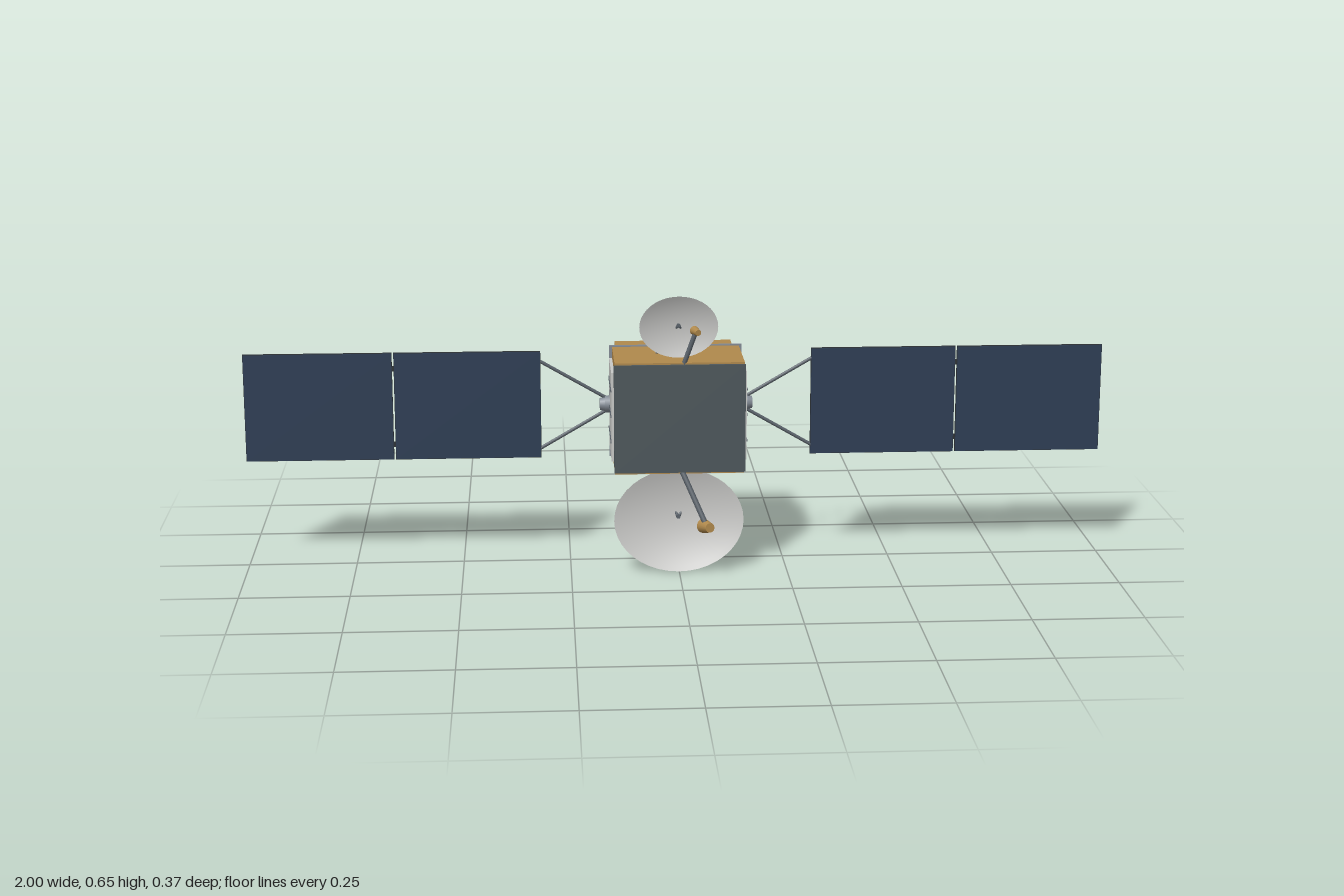
import * as THREE from 'three';

const paint = (name, color, side = THREE.FrontSide) => {
  const m = new THREE.MeshStandardMaterial({ color, side });
  m.name = name;
  return m;
};

export function createModel() {
  const gold = paint('gold foil', 0xb0894c);
  const slate = paint('slate plate', 0x4d575b);
  const white = paint('radiator white', 0xc8c9c7);
  const dishWhite = paint('dish white', 0xc8c8c6, THREE.DoubleSide);
  const metal = paint('ring metal', 0x838b95);
  const strutGrey = paint('strut grey', 0x5b636b);
  const navy = paint('solar cell navy', 0x2d3d54);
  const backing = paint('panel backing grey', 0x7b838a);
  const dark = paint('dark trim', 0x2d3236);

  const model = new THREE.Group();
  model.name = 'satellite';
  const MID = 0.373; // height of the body's axis

  const add = (name, geo, mat, parent = model) => {
    const mesh = new THREE.Mesh(geo, mat);
    mesh.name = name;
    parent.add(mesh);
    return mesh;
  };
  // box given by its limits on each axis
  const box = (name, mat, [x0, x1], [y0, y1], [z0, z1], parent) => {
    const mesh = add(name, new THREE.BoxGeometry(x1 - x0, y1 - y0, z1 - z0), mat, parent);
    mesh.position.set((x0 + x1) / 2, (y0 + y1) / 2, (z0 + z1) / 2);
    return mesh;
  };
  // cylinder or cone between two points
  const rod = (name, mat, from, to, r0, r1 = r0, sides = 10, parent = model) => {
    const a = new THREE.Vector3(...from), b = new THREE.Vector3(...to);
    const dir = b.clone().sub(a);
    const mesh = add(name, new THREE.CylinderGeometry(r1, r0, dir.length(), sides), mat, parent);
    mesh.position.copy(a).add(b).multiplyScalar(0.5);
    mesh.quaternion.setFromUnitVectors(new THREE.Vector3(0, 1, 0), dir.normalize());
    return mesh;
  };

  // body
  box('mainBody', gold, [-0.148, 0.148], [0.243, 0.503], [-0.05, 0.126]);
  box('frontPlate', slate, [-0.15, 0.15], [0.247, 0.499], [0.126, 0.133]);
  box('flange', metal, [-0.155, 0.155], [0.24, 0.506], [-0.056, -0.049]);
  box('rearBody', gold, [-0.138, 0.138], [0.255, 0.49], [-0.172, -0.05]);

  // rear docking ring
  const ringShape = new THREE.Shape().absarc(0, 0, 0.1, 0, Math.PI * 2, false);
  ringShape.holes.push(new THREE.Path().absarc(0, 0, 0.068, 0, Math.PI * 2, true));
  const ring = add('rearRing', new THREE.ExtrudeGeometry(ringShape,
    { depth: 0.016, bevelEnabled: false, curveSegments: 24 }), metal);
  ring.position.set(0, MID, -0.187);

  // side radiators, hubs and solar wings
  for (const s of [1, -1]) {
    const side = new THREE.Group();
    side.name = s > 0 ? 'leftSide' : 'rightSide';
    model.add(side);
    const span = (a, b) => (s > 0 ? [a, b] : [-b, -a]);

    box('radiator', white, span(0.147, 0.155), [0.268, 0.477], [-0.049, 0.104], side);
    for (const dy of [-0.06, 0, 0.06])
      box('radiatorLine', strutGrey, span(0.154, 0.157),
        [MID + dy - 0.0018, MID + dy + 0.0018], [-0.047, 0.104], side);

    const Z = -0.024;
    rod('hub', metal, [s * 0.15, MID, Z], [s * 0.166, MID, Z], 0.02, 0.02, 10, side);
    rod('hubCap', metal, [s * 0.166, MID, Z], [s * 0.178, MID, Z], 0.017, 0.014, 10, side);
    for (const v of [1, -1])
      rod('wingStrut', strutGrey, [s * 0.165, MID + v * 0.016, Z],
        [s * 0.318, MID + v * 0.105, Z], 0.004, 0.004, 8, side);

    for (const [a, b] of [[0.315, 0.654], [0.658, 1]]) {
      const y = [0.247, 0.501];
      box('panelFrame', dark, span(a, b), y, [Z - 0.003, Z + 0.003], side);
      box('solarCells', navy, span(a + 0.001, b - 0.001), [y[0] + 0.001, y[1] - 0.001],
        [Z + 0.003, Z + 0.0042], side);
      box('panelBack', backing, span(a + 0.003, b - 0.003), [y[0] + 0.003, y[1] - 0.003],
        [Z - 0.0042, Z - 0.003], side);
      // dashed seams on the back
      const count = 14, step = (b - a) / count;
      for (const v of [1, -1])
        for (let i = 0; i < count; i++)
          box('backSeam', dark, span(a + (i + 0.2) * step, a + (i + 0.8) * step),
            [MID + v * 0.086 - 0.0013, MID + v * 0.086 + 0.0013], [Z - 0.0048, Z - 0.0042], side);
    }
    for (const v of [1, -1])
      box('panelHinge', dark, span(0.652, 0.66), [MID + v * 0.09 - 0.006, MID + v * 0.09 + 0.006],
        [Z - 0.002, Z + 0.002], side);
  }

  // oval dish antennas, open to the front
  const dish = (name, y, z, rx, ry, depth, tilt) => {
    const profile = [];
    for (let i = 0; i <= 10; i++) profile.push(new THREE.Vector2(i / 10, (i / 10) ** 2 - 1));
    const geo = new THREE.LatheGeometry(profile, 40);
    geo.rotateX(Math.PI / 2).scale(rx, ry, depth);
    const mesh = add(name, geo, dishWhite);
    mesh.position.set(0, y, z);
    mesh.rotation.x = tilt;
  };
  dish('upperDish', 0.577, 0.086, 0.09, 0.073, 0.015, 0.11);
  dish('lowerDish', 0.123, 0.0955, 0.15, 0.121, 0.025, -0.104);

  // braces behind the dishes
  for (const s of [1, -1]) {
    rod('upperDishBrace', strutGrey, [s * 0.048, 0.501, 0.021], [0, 0.58, 0.073], 0.0035);
    rod('lowerDishBrace', strutGrey, [s * 0.05, 0.245, 0.017], [0, 0.121, 0.073], 0.0035);
  }
  rod('upperDishPin', strutGrey, [0, 0.578, 0.069], [0, 0.578, 0.075], 0.005);
  rod('lowerDishPin', strutGrey, [0, 0.126, 0.069], [0, 0.126, 0.076], 0.005);

  // feed booms and horns, wide end toward the dish
  rod('upperFeedBoom', strutGrey, [0.01, 0.5, 0.121], [0.035, 0.572, 0.128], 0.0055);
  rod('upperFeedHorn', gold, [0.033, 0.576, 0.117], [0.041, 0.575, 0.141], 0.0105, 0.007, 16);
  rod('lowerFeedBoom', strutGrey, [0.006, 0.247, 0.126], [0.056, 0.135, 0.161], 0.0065);
  rod('lowerFeedHorn', gold, [0.053, 0.124, 0.148], [0.066, 0.129, 0.183], 0.0165, 0.011, 16);

  return model;
}
